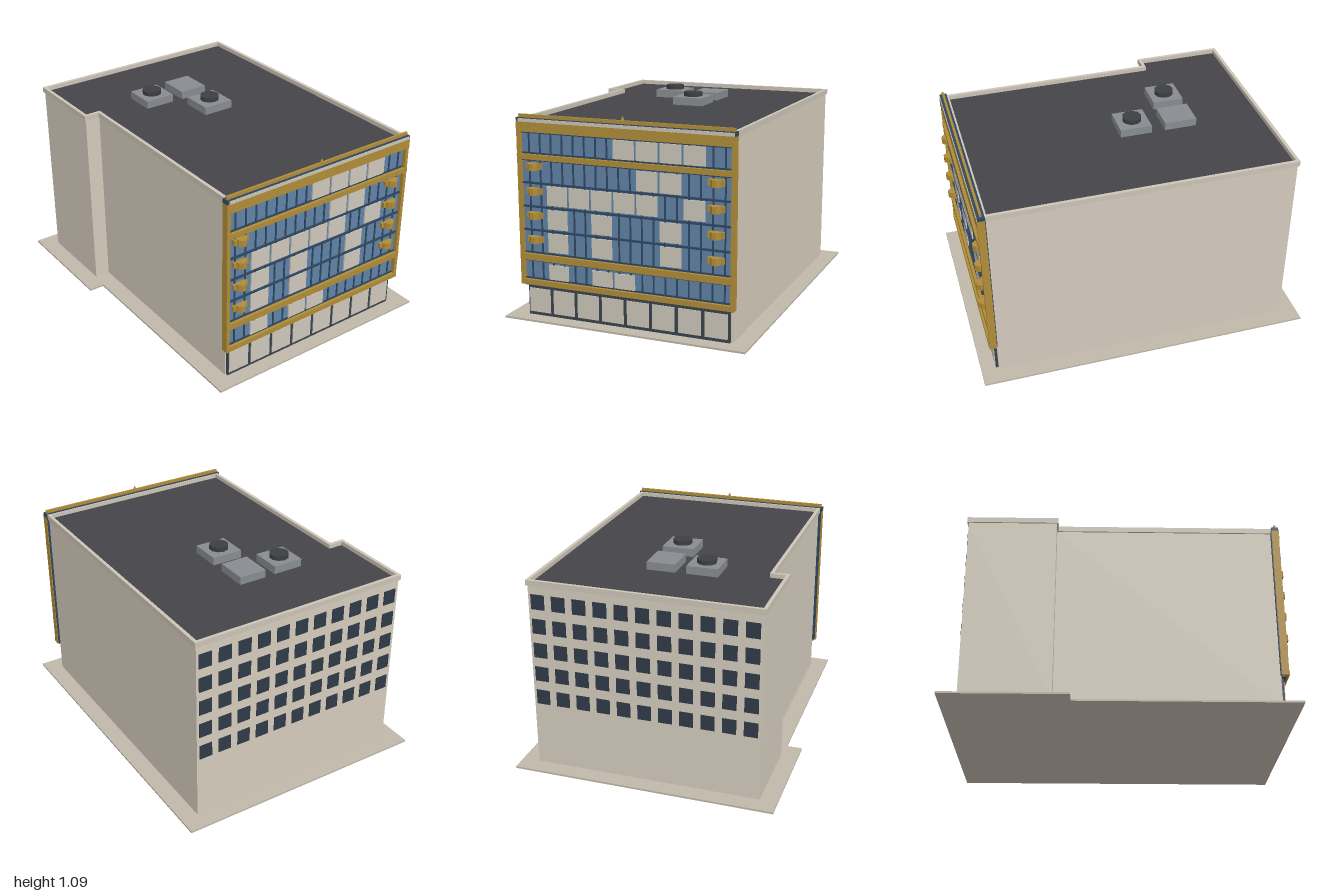
import * as THREE from 'three';

const mat = (color) => new THREE.MeshStandardMaterial({ color });
const WALL = mat(0xd3cabb), TRIM = mat(0xcbc4b6), ROOF = mat(0x454449), GOLD = mat(0xb08c38),
  GLASS = mat(0x5f82a6), NAVY = mat(0x2f4660), DARK = mat(0x3a434c), BLIND = mat(0xcdc6ba),
  UNIT = mat(0x878c90), FAN = mat(0x3c3e42), PAVE = mat(0xbfb7a9), WINDOW = mat(0x2f3a47);

// L-shaped footprint, grown outwards by d (x, z pairs)
const footprint = (d) => [
  [-0.525 - d, 0.815 + d], [0.605 + d, 0.815 + d], [0.605 + d, -0.8 - d],
  [-0.608 - d, -0.8 - d], [-0.608 - d, -0.335 + d], [-0.525 - d, -0.335 + d],
].map(([x, z]) => new THREE.Vector2(x, -z));

export function createModel() {
  const model = new THREE.Group();
  model.name = 'officeBuilding';
  const site = new THREE.Group();
  site.name = 'site';
  site.rotation.y = 0.1675; // the plot is turned a little
  model.add(site);

  const group = (name) => {
    const g = new THREE.Group();
    g.name = name;
    site.add(g);
    return g;
  };
  const add = (parent, name, geometry, material, x = 0, y = 0, z = 0) => {
    const m = new THREE.Mesh(geometry, material);
    m.name = name;
    m.position.set(x, y, z);
    parent.add(m);
    return m;
  };
  // box given by its min and max on each axis
  const box = (parent, name, material, x0, x1, y0, y1, z0, z1) =>
    add(parent, name, new THREE.BoxGeometry(x1 - x0, y1 - y0, z1 - z0), material,
      (x0 + x1) / 2, (y0 + y1) / 2, (z0 + z1) / 2);
  // horizontal slab following the footprint, optionally hollow
  const slab = (name, material, grow, y, height, holeGrow) => {
    const shape = new THREE.Shape(footprint(grow));
    if (holeGrow !== undefined) shape.holes.push(new THREE.Path(footprint(holeGrow)));
    const g = new THREE.ExtrudeGeometry(shape, { depth: height, bevelEnabled: false });
    add(site, name, g.rotateX(-Math.PI / 2), material, 0, y, 0);
  };

  // Main masses
  slab('pavement', PAVE, 0.092, 0, 0.01);
  slab('walls', WALL, 0, 0.01, 1.006);
  slab('roofDeck', ROOF, -0.004, 1.014, 0.008);
  slab('parapet', TRIM, 0.008, 1.016, 0.029, -0.01);

  // Rear windows
  const rear = group('rearWindows');
  for (let row = 0; row < 5; row++) {
    for (let col = 0; col < 11; col++) {
      const x = (col - 5) * 0.111, y = 0.4 + row * 0.1325;
      box(rear, 'rearWindow', WINDOW, x - 0.036, x + 0.036, y - 0.04, y + 0.04, -0.804, -0.795);
    }
  }

  // Shop front with eight panes
  const shop = group('shopFront');
  box(shop, 'shopFrame', DARK, -0.517, 0.592, 0.01, 0.18, 0.8, 0.828);
  for (let i = 0; i < 8; i++) {
    const x = -0.45 + i * 0.1387;
    box(shop, 'shopPane', BLIND, x - 0.06, x + 0.06, 0.027, 0.155, 0.82, 0.832);
  }

  // Glazed facade with gold frame
  const facade = group('facade');
  const L = -0.545, R = 0.62;
  box(facade, 'backing', NAVY, L + 0.004, R - 0.004, 0.185, 1.03, 0.812, 0.826);
  box(facade, 'glazing', GLASS, L + 0.015, R - 0.015, 0.19, 1.0, 0.82, 0.833);
  for (const [y0, y1] of [[0.18, 0.208], [0.312, 0.346], [0.837, 0.864], [0.977, 1.027]]) {
    box(facade, 'goldBand', GOLD, L, R, y0, y1, 0.816, 0.856);
    box(facade, 'bandShadowLine', NAVY, L + 0.012, R - 0.012, y0 - 0.008, y1 + 0.008, 0.82, 0.84);
  }
  for (const x of [L, R - 0.02]) {
    box(facade, 'goldPost', GOLD, x, x + 0.02, 0.18, 1.027, 0.816, 0.854);
  }
  for (const y of [0.47, 0.593, 0.715]) {
    box(facade, 'floorLine', NAVY, L + 0.015, R - 0.015, y - 0.005, y + 0.005, 0.82, 0.842);
  }
  const bayX = (k) => -0.4555 + k * 0.1236;
  for (let k = 0; k < 18; k++) {
    const x = bayX(k / 2) - 0.029;
    box(facade, 'mullion', NAVY, x - 0.004, x + 0.004, 0.2, 0.985, 0.82, 0.838);
  }

  // Lowered blinds: centre height, panel height, bays
  const blinds = [
    [0.92, 0.095, [4, 5, 6, 7]], [0.774, 0.1, [5, 6]], [0.655, 0.1, [1, 2, 3, 4, 5, 7]],
    [0.532, 0.1, [1, 3, 6]], [0.41, 0.1, [1, 3, 6]], [0.254, 0.078, [1, 3, 4]],
  ];
  for (const [y, h, bays] of blinds) {
    for (const k of bays) {
      const x = bayX(k);
      box(facade, 'blind', BLIND, x - 0.055, x + 0.055, y - h / 2, y + h / 2, 0.822, 0.841);
    }
  }

  // Small gold bay balconies with side wings
  const bay = new THREE.Shape([[-0.03, 0], [0.03, 0], [0.024, -0.025], [0.01, -0.04],
    [-0.01, -0.04], [-0.024, -0.025]].map(([x, y]) => new THREE.Vector2(x, y)));
  const bayGeo = new THREE.ExtrudeGeometry(bay, { depth: 0.036, bevelEnabled: false });
  bayGeo.rotateX(-Math.PI / 2);
  for (const x of [-0.457, 0.523]) {
    for (const y of [0.802, 0.675, 0.549, 0.423]) {
      add(facade, 'balcony', bayGeo, GOLD, x, y - 0.018, 0.837);
      box(facade, 'balconyWings', GOLD, x - 0.043, x + 0.043, y - 0.015, y + 0.015, 0.83, 0.85);
    }
  }

  // Facade coping, gold ridge and small peak
  box(facade, 'coping', NAVY, L, R, 1.025, 1.047, 0.815, 0.853);
  box(facade, 'copingFace', TRIM, L + 0.012, R - 0.006, 1.027, 1.044, 0.84, 0.856);
  box(facade, 'goldRidge', GOLD, L + 0.008, R - 0.008, 1.045, 1.064, 0.829, 0.841);
  add(facade, 'peak', new THREE.ConeGeometry(0.011, 0.024, 4), GOLD, 0.037, 1.075, 0.835);

  // Rooftop plant: x, z, width, depth, has fan
  const plant = group('roofPlant');
  for (const [x, z, w, d, fan] of [[-0.183, -0.34, 0.168, 0.168, true],
    [0.037, -0.339, 0.155, 0.175, false], [0.03, -0.09, 0.172, 0.172, true]]) {
    box(plant, 'plantUnit', UNIT, x - w / 2, x + w / 2, 1.02, 1.065, z - d / 2, z + d / 2);
    if (fan) add(plant, 'fan', new THREE.CylinderGeometry(0.052, 0.052, 0.026, 10), FAN, x, 1.076, z);
  }
  return model;
}
